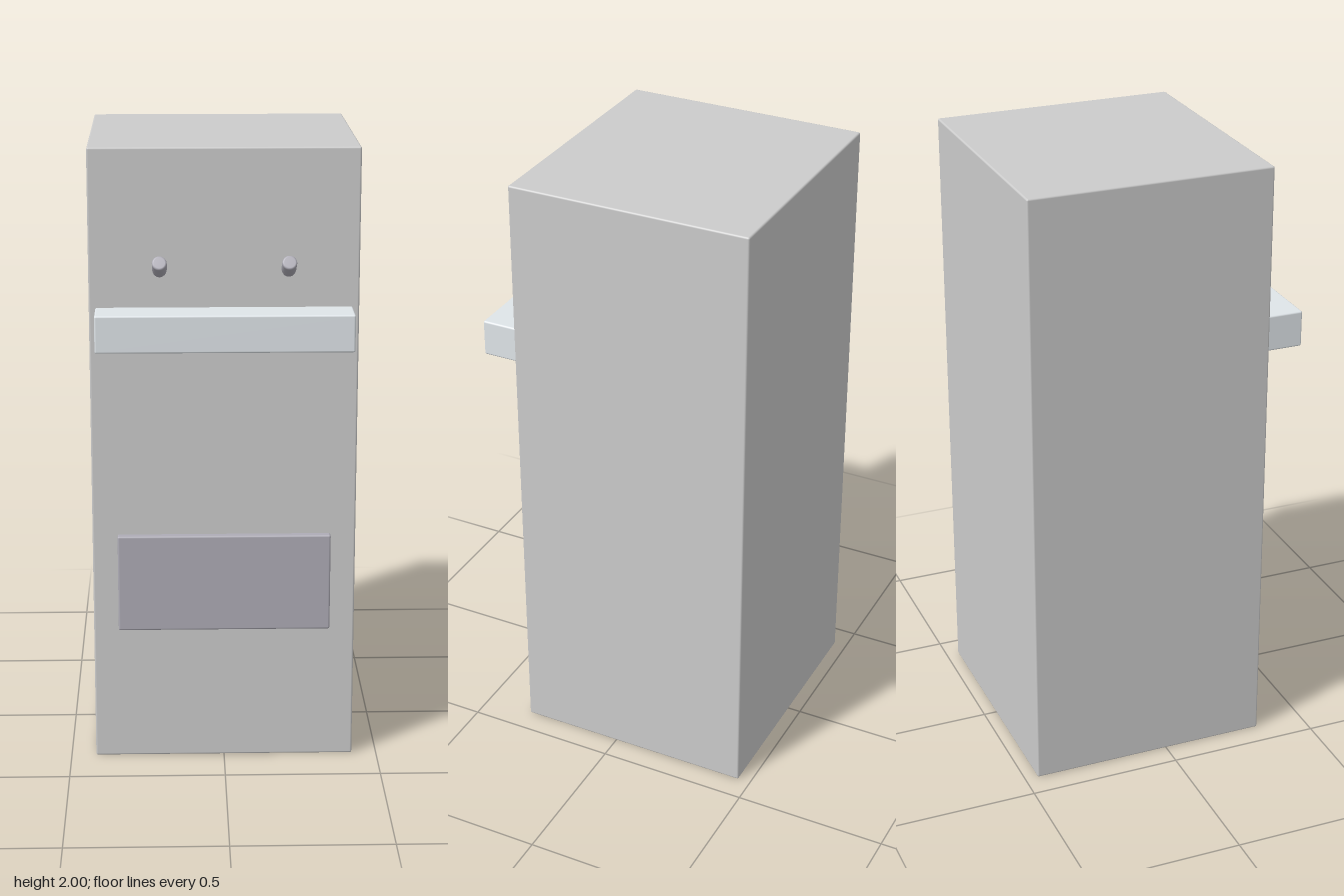
import * as THREE from 'three';
import { RoundedBoxGeometry } from 'three/addons/geometries/RoundedBoxGeometry.js';

const FRONT = 0.336; // z of the cabinet's front face
const BACK = -0.458;
const BEVEL = 0.006;

const grey = new THREE.MeshStandardMaterial({ color: 0xcccccc });
const paleBlue = new THREE.MeshStandardMaterial({ color: 0xdfe5e9 });
const slate = new THREE.MeshStandardMaterial({ color: 0xaeacb6 });

// Softly bevelled box spanning the given y and z ranges, centred on x
function block(name, width, y0, y1, z0, z1, material) {
  const geometry = new RoundedBoxGeometry(width, y1 - y0, z1 - z0, 2, BEVEL);
  const mesh = new THREE.Mesh(geometry, material);
  mesh.name = name;
  mesh.position.set(0, (y0 + y1) / 2, (z0 + z1) / 2);
  return mesh;
}

// Short peg with a rounded rim, its tip at the origin and its shaft along -y
function pegGeometry(radius, length, rim) {
  const points = [new THREE.Vector2(0, -length), new THREE.Vector2(radius, -length)];
  for (let i = 0; i <= 4; i++) {
    const a = (i / 4) * Math.PI / 2;
    points.push(new THREE.Vector2(radius - rim + rim * Math.cos(a), -rim + rim * Math.sin(a)));
  }
  points.push(new THREE.Vector2(0, 0));
  return new THREE.LatheGeometry(points, 32);
}

export function createModel() {
  const model = new THREE.Group();
  model.name = 'cabinet';

  // Tall body, projecting ledge and raised lower panel
  model.add(
    block('body', 0.84, 0, 2, BACK, FRONT, grey),
    block('ledge', 0.8, 1.385, 1.503, FRONT - 0.02, 0.458, paleBlue),
    block('lowerPanel', 0.68, 0.445, 0.763, FRONT - 0.02, 0.36, slate)
  );

  // Pair of pegs tilted upward
  const peg = pegGeometry(0.023, 0.09, 0.006);
  for (const [side, name] of [[1, 'leftPeg'], [-1, 'rightPeg']]) {
    const mesh = new THREE.Mesh(peg, slate);
    mesh.name = name;
    mesh.position.set(side * 0.2, 1.653, 0.385);
    mesh.rotation.x = Math.PI / 3;
    model.add(mesh);
  }
  return model;
}
